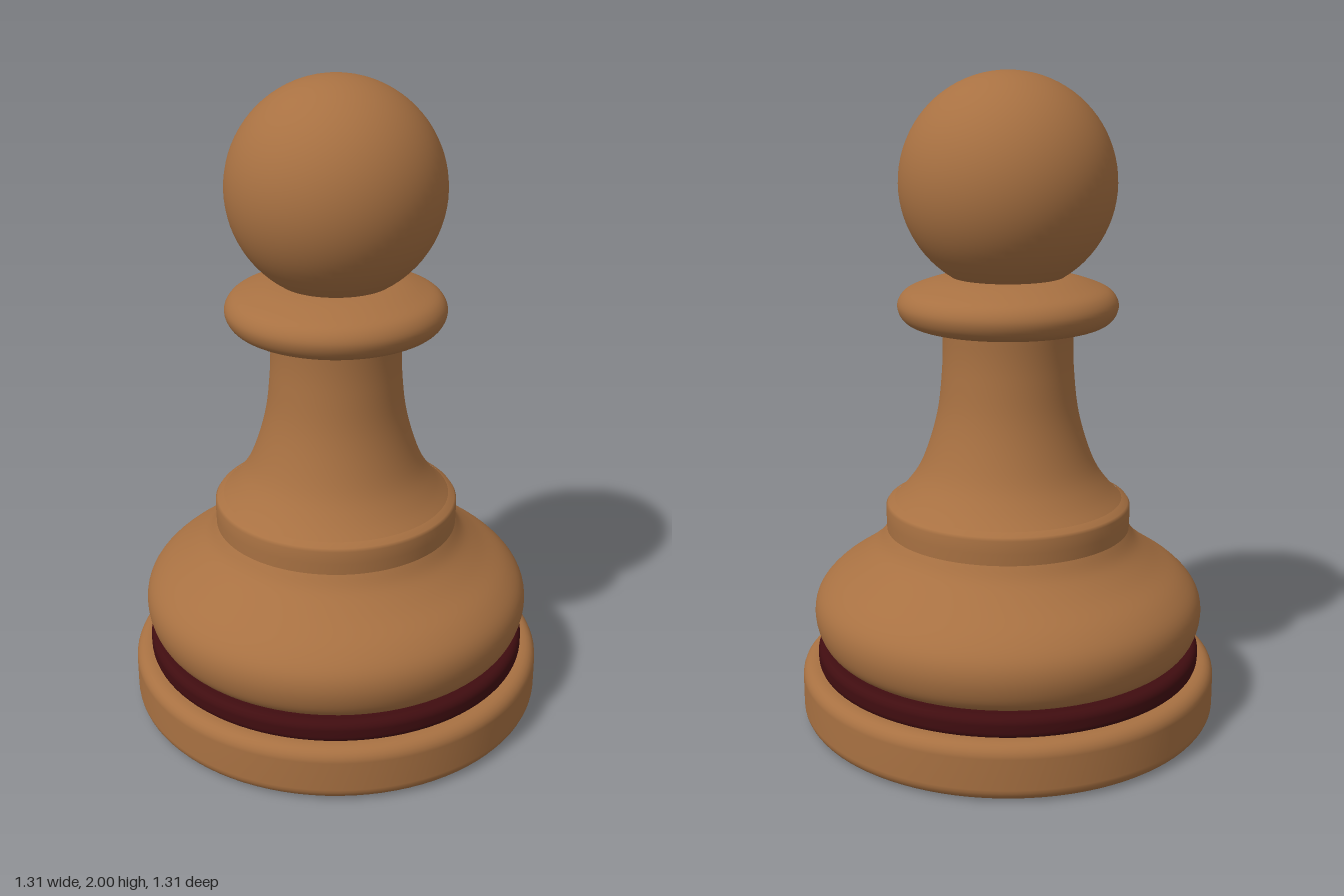
import * as THREE from 'three';

const SEGMENTS = 96;
const wood = new THREE.MeshStandardMaterial({ color: 0xa87142 });
wood.name = 'warm wood';
const darkRed = new THREE.MeshStandardMaterial({ color: 0x400d10 });
darkRed.name = 'dark red';

// Profiles run from bottom to top as [radius, height]
const toPoints = (pairs) => pairs.map(([r, y]) => new THREE.Vector2(r, y));
const curved = (pairs, n = 28) => new THREE.SplineCurve(toPoints(pairs)).getPoints(n);

// Closed disc profile with rounded rims
function discProfile(radius, bottom, top, bevel) {
  const points = [new THREE.Vector2(0, bottom), new THREE.Vector2(radius - bevel - 0.005, bottom)];
  for (const [cy, start] of [[bottom + bevel, -Math.PI / 2], [top - bevel, 0]]) {
    for (let i = 0; i <= 6; i++) {
      const a = start + (i / 6) * Math.PI / 2;
      points.push(new THREE.Vector2(radius - bevel + bevel * Math.cos(a), cy + bevel * Math.sin(a)));
    }
  }
  points.push(new THREE.Vector2(radius - bevel - 0.005, top), new THREE.Vector2(0, top));
  return points;
}

export function createModel() {
  const group = new THREE.Group();
  const add = (name, geometry, material = wood) => {
    const mesh = new THREE.Mesh(geometry, material);
    mesh.name = name;
    group.add(mesh);
    return mesh;
  };
  const turned = (name, points, material) => add(name, new THREE.LatheGeometry(points, SEGMENTS), material);

  // Foot and the coloured band above it
  turned('base', discProfile(0.655, 0, 0.175, 0.04));
  turned('band', discProfile(0.605, 0.165, 0.237, 0.025), darkRed);

  // Bulging lower body
  turned('belly', curved([
    [0.5, 0.232], [0.56, 0.238], [0.595, 0.275], [0.611, 0.34], [0.598, 0.4],
    [0.55, 0.455], [0.47, 0.51], [0.41, 0.56], [0.38, 0.605],
  ], 36));

  // Narrow step between belly and neck
  turned('step', toPoints([[0.38, 0.6], [0.381, 0.64], [0.381, 0.68], [0.375, 0.689], [0.355, 0.7]]));

  // Flared neck
  turned('neck', curved([
    [0.365, 0.69], [0.32, 0.735], [0.275, 0.8], [0.24, 0.89],
    [0.215, 0.99], [0.203, 1.1], [0.2, 1.18], [0.203, 1.26],
  ]));

  // Collar under the head
  turned('collar', curved([
    [0.19, 1.242], [0.27, 1.244], [0.318, 1.265], [0.336, 1.308],
    [0.315, 1.348], [0.26, 1.373], [0.19, 1.392], [0.1, 1.402],
  ], 36));

  // Round head
  add('head', new THREE.SphereGeometry(0.327, 64, 40)).position.y = 1.673;

  return group;
}
